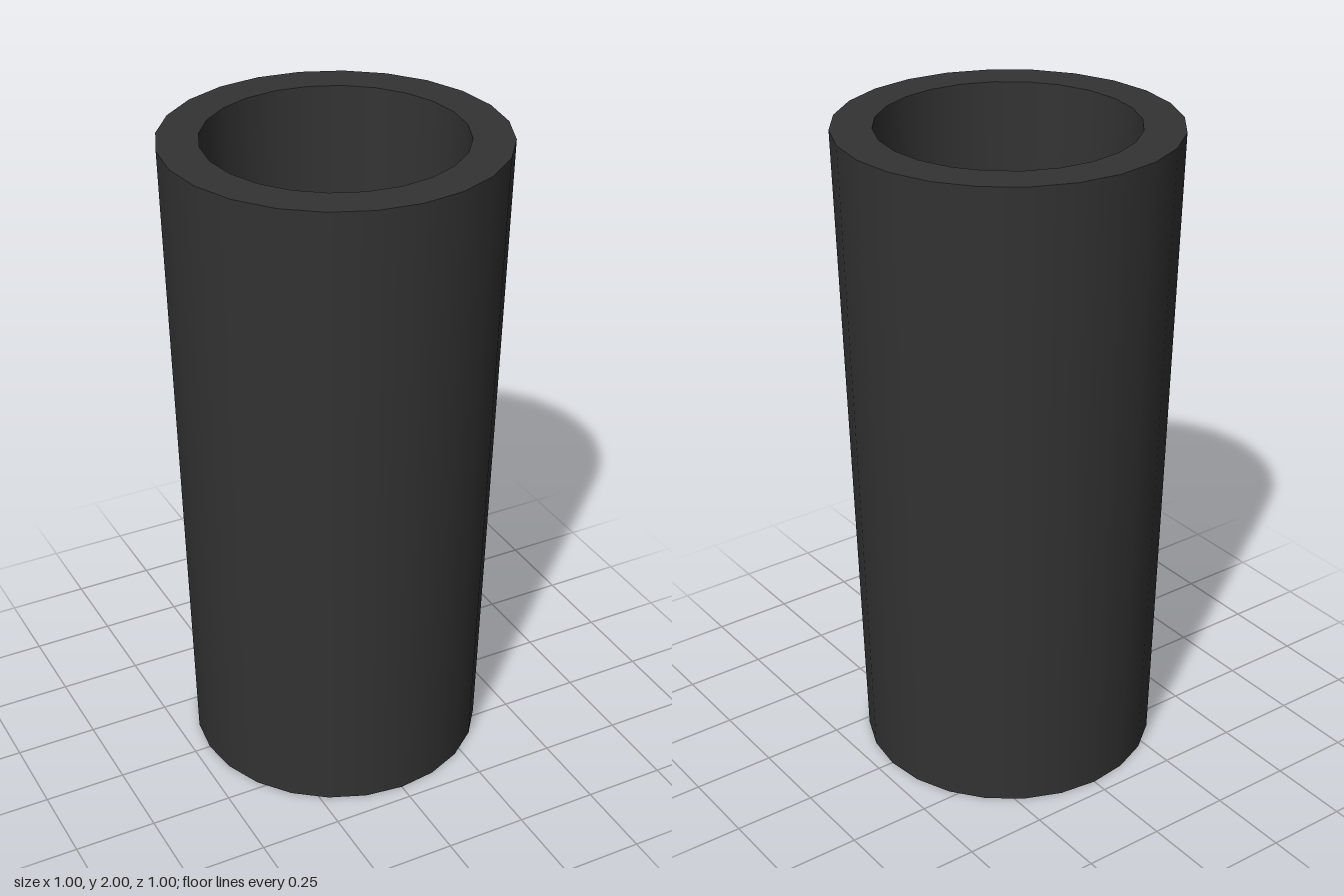
import * as THREE from 'three';

const SIDES = 24;

export function createModel() {
  const model = new THREE.Group();
  model.name = 'tumbler';
  const material = new THREE.MeshStandardMaterial({ color: 0x333333 });

  // Closed profile from the base centre, up the outside, over the rim, down to the floor centre
  const profile = [[0, 0], [0.45, 0], [0.5, 2], [0.38, 2], [0.315, 0.12], [0, 0.12]]
    .map(([r, y]) => new THREE.Vector2(r, y));

  // Each stretch is turned separately: smooth around, sharp at the edges
  ['base', 'outerWall', 'rim', 'innerWall', 'floor'].forEach((name, i) => {
    const geometry = new THREE.LatheGeometry([profile[i], profile[i + 1]], SIDES);
    const mesh = new THREE.Mesh(geometry, material);
    mesh.name = name;
    model.add(mesh);
  });

  return model;
}
